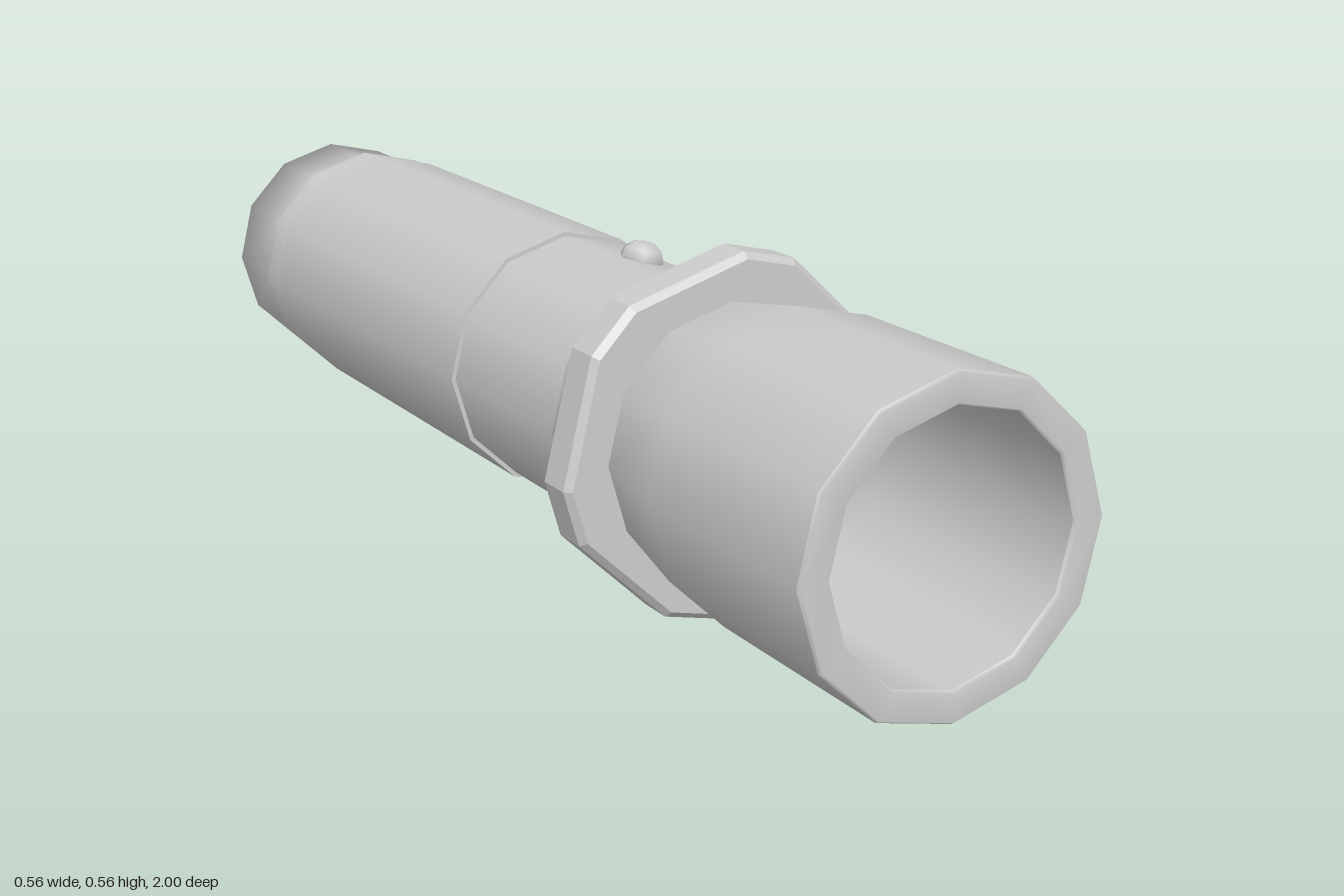
import * as THREE from 'three';

const SIDES = 12;
const material = new THREE.MeshStandardMaterial({ color: 0xcccccc });

// Smooth 12-sided turned part; profile points are [radius, z], outward when z rises
function turned(name, profile) {
  const points = profile.map(([r, z]) => new THREE.Vector2(r, z));
  const geometry = new THREE.LatheGeometry(points, SIDES);
  geometry.rotateX(Math.PI / 2);
  const mesh = new THREE.Mesh(geometry, material);
  mesh.name = name;
  return mesh;
}

// Hexagonal ring with cut corners, bevelled on both faces
function lockNut() {
  const bevel = 0.01;
  const radius = 0.28;
  const outline = (r) => {
    const points = [];
    for (let i = 0; i < 6; i++) {
      for (const degrees of [6, 24]) {
        const a = THREE.MathUtils.degToRad(degrees + i * 60);
        points.push(new THREE.Vector2(r * Math.sin(a), r * Math.cos(a)));
      }
    }
    return points;
  };
  const shape = new THREE.Shape(outline(radius - bevel));
  const hole = new THREE.Path();
  hole.absarc(0, 0, 0.21, 0, Math.PI * 2, true);
  shape.holes.push(hole);
  const geometry = new THREE.ExtrudeGeometry(shape, {
    depth: 0.055, bevelSize: bevel, bevelThickness: bevel, bevelSegments: 1, curveSegments: 6,
  });
  const mesh = new THREE.Mesh(geometry, material);
  mesh.name = 'lockNut';
  mesh.position.z = 0.393;
  return mesh;
}

export function createModel() {
  const model = new THREE.Group();
  model.name = 'flashlight';

  // Tail cap with closed end, and its step up to the barrel
  model.add(turned('tailCap', [[0, -0.989], [0.199, -0.989], [0.199, -0.83]]));
  model.add(turned('tailStep', [[0.199, -0.83], [0.209, -0.828]]));
  model.add(turned('tailRing', [[0.209, -0.828], [0.208, -0.785], [0.205, -0.778]]));
  model.add(turned('barrelBackEdge', [[0.205, -0.775], [0.213, -0.77]]));

  // Barrel and the disc that closes it at the front
  model.add(turned('barrel', [[0.213, -0.77], [0.213, -0.04]]));
  model.add(turned('barrelFrontDisc', [[0.213, -0.04], [0, -0.04]]));

  // Switch section flaring out to the nut
  model.add(turned('switchSection', [[0.206, -0.04], [0.206, 0.28], [0.212, 0.3], [0.233, 0.335], [0.237, 0.4]]));

  // Head: tapered shell, rim and hollow inside
  model.add(turned('headShell', [[0.207, 0.44], [0.212, 0.47], [0.241, 0.62], [0.243, 0.98]]));
  model.add(turned('headRim', [[0.243, 0.98], [0.239, 0.986], [0.199, 0.986], [0.195, 0.98]]));
  model.add(turned('headInside', [[0.195, 0.98], [0.194, 0.55]]));
  model.add(turned('neckInside', [[0.194, 0.55], [0.202, 0.4], [0.202, -0.04]]));

  model.add(lockNut());

  // Push button on top of the switch section
  const button = new THREE.Mesh(new THREE.SphereGeometry(0.037, 6, 6), material);
  button.name = 'button';
  button.scale.set(1, 0.75, 1.1);
  button.rotation.z = -0.26;
  button.position.set(0.05, 0.196, 0.12);
  model.add(button);

  // The light rests on its nut and tail, so the head is raised a little
  model.rotation.x = -0.056;
  model.position.y = 0.259;
  const root = new THREE.Group();
  root.add(model);
  return root;
}
